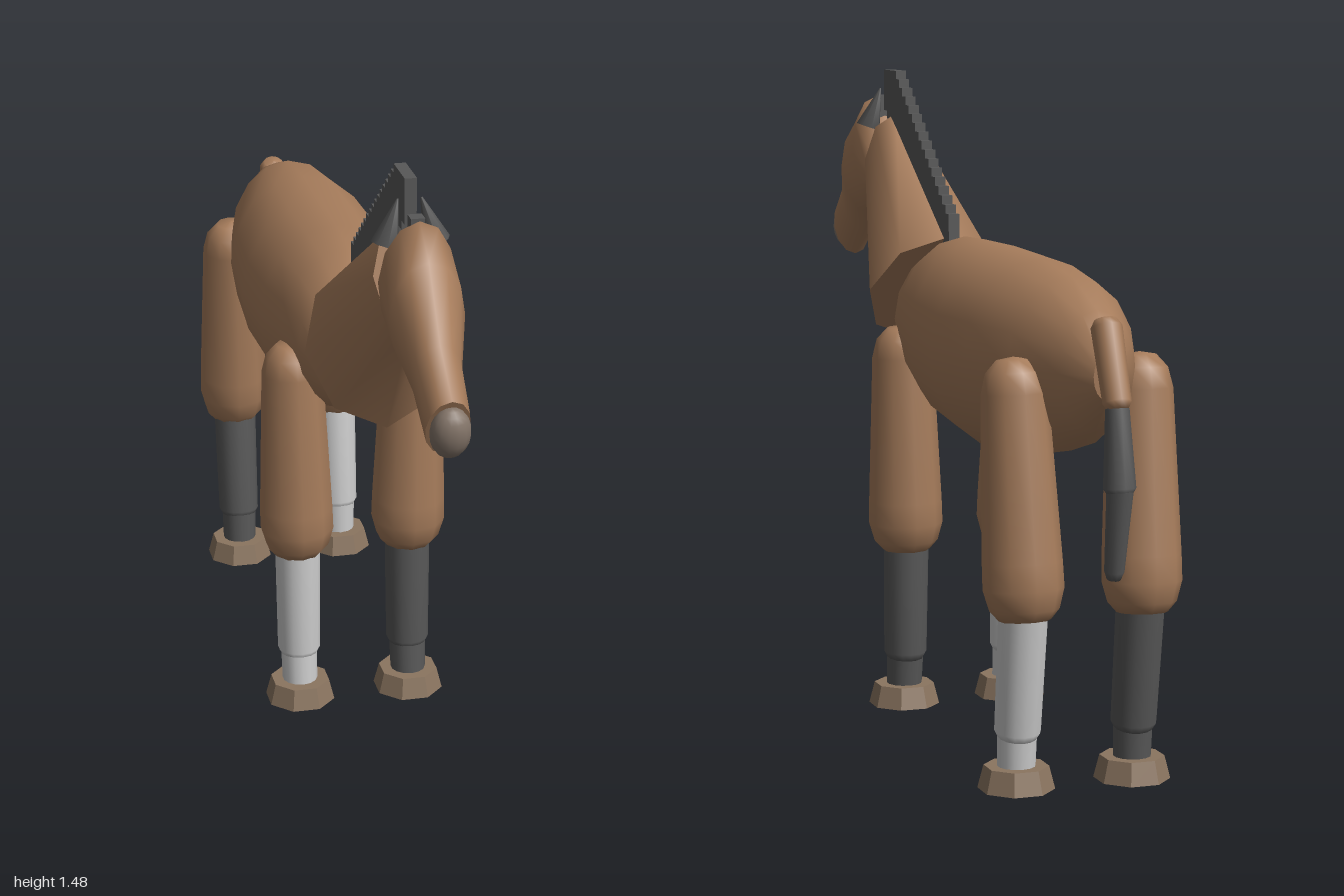
import * as THREE from 'three';

const mat = (color) => new THREE.MeshStandardMaterial({ color });
const coat = mat(0xa67c5b), dark = mat(0x585858), white = mat(0xcccccc);
const hoofMat = mat(0x8b7560), noseMat = mat(0x85766a);

// Skin elliptical rings given as [zTop, yTop, zBottom, yBottom, halfWidth], back to front, with flat caps
function loft(rings, sides) {
  const pos = [], index = [];
  const addRing = ([zt, yt, zb, yb, w]) => {
    for (let j = 0; j <= sides; j++) {
      const a = (j / sides) * Math.PI * 2, c = Math.cos(a) / 2;
      pos.push(w * Math.sin(a), (yt + yb) / 2 + (yt - yb) * c, (zt + zb) / 2 + (zt - zb) * c);
    }
  };
  rings.forEach(addRing);
  const n = sides + 1;
  for (let i = 0; i < rings.length - 1; i++) {
    for (let j = 0; j < sides; j++) {
      const a = i * n + j;
      index.push(a, a + n, a + 1, a + 1, a + n, a + n + 1);
    }
  }
  for (const end of [0, 1]) {
    const r = rings[end ? rings.length - 1 : 0], base = pos.length / 3;
    addRing(r);
    pos.push(0, (r[1] + r[3]) / 2, (r[0] + r[2]) / 2);
    for (let j = 0; j < sides; j++) {
      index.push(base + n, base + j + (end ? 1 : 0), base + j + (end ? 0 : 1));
    }
  }
  const g = new THREE.BufferGeometry();
  g.setAttribute('position', new THREE.Float32BufferAttribute(pos, 3));
  g.setIndex(index);
  g.computeVertexNormals();
  // Match the normals across the seam at the top of each ring
  const nor = g.attributes.normal;
  for (let i = 0; i < rings.length; i++) {
    const a = new THREE.Vector3().fromBufferAttribute(nor, i * n);
    a.add(new THREE.Vector3().fromBufferAttribute(nor, i * n + sides)).normalize();
    nor.setXYZ(i * n, a.x, a.y, a.z);
    nor.setXYZ(i * n + sides, a.x, a.y, a.z);
  }
  return g;
}

// Turned limb from a to b; profile holds [fraction along, radius]
function limb(a, b, profile, sides) {
  const from = new THREE.Vector3(...a), dir = new THREE.Vector3(...b).sub(from);
  const len = dir.length();
  const g = new THREE.LatheGeometry(profile.map(([t, r]) => new THREE.Vector2(r, t * len)), sides);
  g.applyQuaternion(new THREE.Quaternion().setFromUnitVectors(new THREE.Vector3(0, 1, 0), dir.normalize()));
  return g.translate(from.x, from.y, from.z);
}

export function createModel() {
  const group = new THREE.Group();
  const add = (name, geometry, material, parent = group) => {
    const m = new THREE.Mesh(geometry, material);
    m.name = name;
    parent.add(m);
    return m;
  };

  // Barrel-shaped body
  add('body', loft([
    [-0.89, 0.95, -0.885, 0.85, 0.03],
    [-0.83, 1.03, -0.82, 0.775, 0.085],
    [-0.68, 1.085, -0.68, 0.715, 0.145],
    [-0.5, 1.105, -0.5, 0.68, 0.18],
    [-0.3, 1.11, -0.3, 0.66, 0.19],
    [-0.12, 1.115, -0.12, 0.675, 0.183],
    [0.02, 1.11, 0.02, 0.71, 0.165],
    [0.12, 1.075, 0.12, 0.75, 0.14],
    [0.22, 1.01, 0.22, 0.79, 0.105],
    [0.29, 0.92, 0.29, 0.88, 0.02],
  ], 16), coat);

  // Tapered neck, faceted
  add('neck', loft([
    [0.13, 1.1, 0.41, 0.83, 0.155],
    [0.55, 1.37, 0.61, 1.14, 0.072],
  ], 8), coat);

  // Head and nose
  add('head', loft([
    [0.61, 1.32, 0.6, 1.15, 0.06],
    [0.69, 1.41, 0.63, 1.135, 0.08],
    [0.77, 1.35, 0.75, 1.105, 0.08],
    [0.87, 1.21, 0.82, 1.06, 0.053],
    [0.975, 1.13, 0.91, 0.99, 0.047],
  ], 12), coat);
  const nose = add('nose', new THREE.SphereGeometry(1, 14, 10), noseMat);
  nose.scale.set(0.043, 0.058, 0.036);
  nose.position.set(0, 1.058, 0.962);
  nose.rotation.x = 0.2;

  // Ears lean towards the middle
  for (const s of [1, -1]) {
    add('ear', limb([s * 0.055, 1.335, 0.608], [s * 0.025, 1.43, 0.6],
      [[0, 0], [0, 0.031], [1, 0.002]], 8), dark);
  }

  // Stepped mane and forelock
  const mane = new THREE.Group();
  mane.name = 'mane';
  group.add(mane);
  const steps = 16;
  for (let i = 0; i <= steps; i++) {
    const t = i / steps;
    add('maneTuft', new THREE.BoxGeometry(0.026, 0.1, 0.1), dark, mane)
      .position.set(0, 1.425 - 0.32 * t, 0.56 - 0.41 * t);
  }
  add('forelock', new THREE.BoxGeometry(0.03, 0.06, 0.03), dark).position.set(0, 1.38, 0.66);

  // Legs: x side, then z of hoof, ankle, knee, thigh bottom and shoulder, with top height
  const thigh = [[0, 0], [0, 0.055], [0.04, 0.074], [0.12, 0.086], [0.22, 0.085],
    [0.86, 0.071], [0.94, 0.06], [0.99, 0.035], [1, 0]];
  const shin = [[0, 0], [0, 0.04], [0.06, 0.05], [0.95, 0.053], [1, 0.05], [1, 0]];
  const front = { z: [0.08, 0.07, 0.06, 0.06, 0.055], top: 0.905 };
  const rear = { z: [-0.71, -0.715, -0.755, -0.762, -0.71], top: 0.925 };
  const legs = [['frontLeftLeg', 1, front, dark], ['frontRightLeg', -1, front, white],
    ['rearLeftLeg', 1, rear, white], ['rearRightLeg', -1, rear, dark]];
  for (const [name, s, { z, top }, sock] of legs) {
    const leg = new THREE.Group();
    leg.name = name;
    group.add(leg);
    const x = s * 0.132;
    add('upperLeg', limb([x, 0.375, z[3]], [s * 0.142, top, z[4]], thigh, 10), coat, leg);
    add('lowerLeg', limb([x, 0.11, z[1]], [x, 0.42, z[2]], shin, 14), sock, leg);
    add('ankle', limb([x, 0.04, z[0]], [x, 0.13, z[1]], [[0, 0.041], [1, 0.043]], 14), sock, leg);
    const hoof = new THREE.CylinderGeometry(0.07, 0.083, 0.05, 8).toNonIndexed();
    hoof.computeVertexNormals();
    add('hoof', hoof.rotateY(Math.PI / 8), hoofMat, leg).position.set(x, 0.025, z[0]);
  }

  // Tail in three pieces
  const round = (r0, r1) => [[0, 0], [0.02, r0 * 0.7], [0.1, r0], [0.9, r1], [0.98, r1 * 0.7], [1, 0]];
  add('tailBase', limb([0, 0.835, -0.95], [0, 1.02, -0.873], round(0.03, 0.033), 10), coat);
  add('tailMiddle', limb([0, 0.66, -0.962], [0, 0.86, -0.942], round(0.034, 0.025), 10), dark);
  add('tailTip', limb([0, 0.482, -0.93], [0, 0.7, -0.966], round(0.021, 0.028), 10), dark);

  return group;
}
